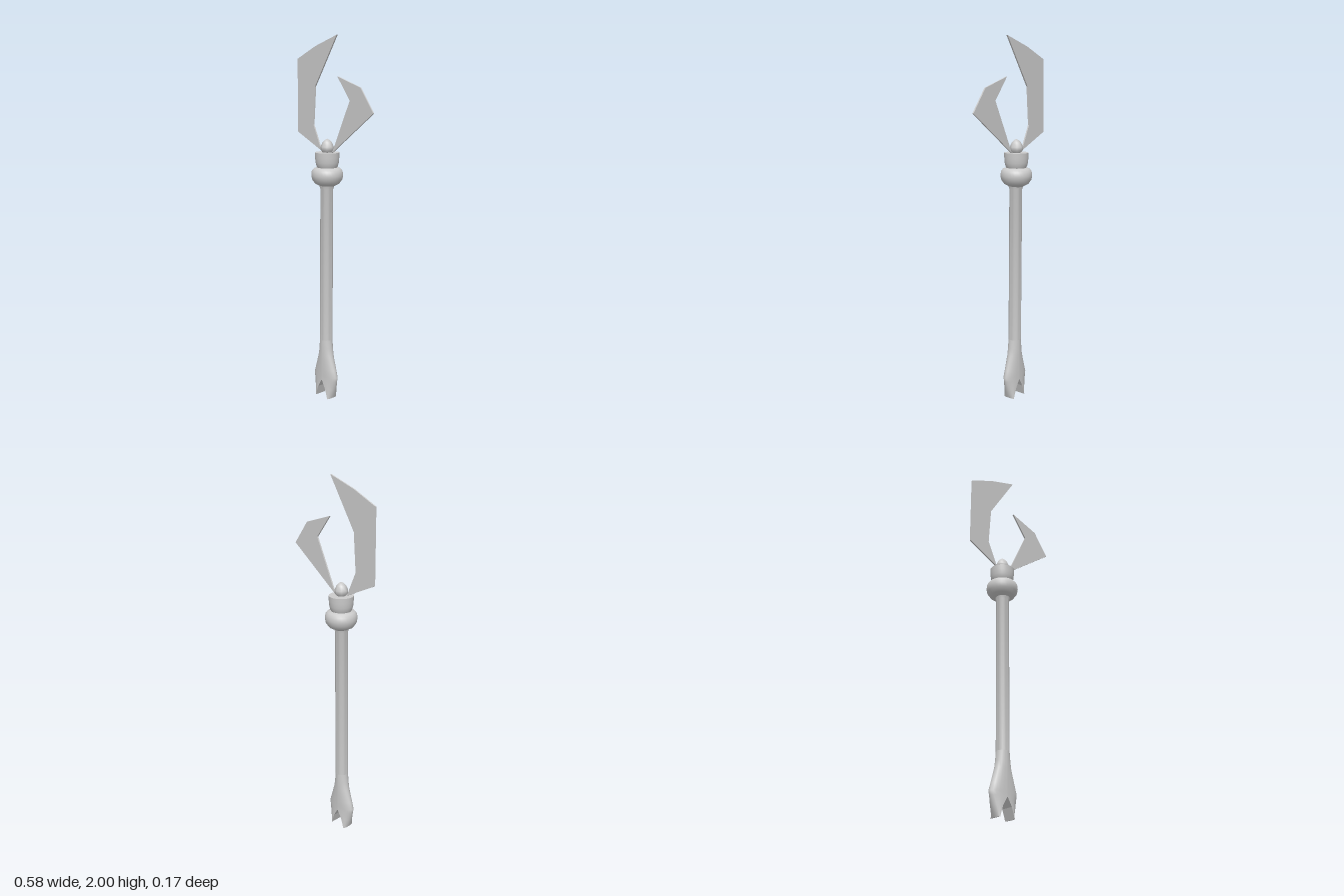
import * as THREE from 'three';
import { toCreasedNormals } from 'three/addons/utils/BufferGeometryUtils.js';

const AXIS_X = -0.057;
const material = new THREE.MeshStandardMaterial({ color: 0xcccccc });
const openMaterial = new THREE.MeshStandardMaterial({ color: 0xcccccc, side: THREE.DoubleSide });

function add(parent, name, geometry, mat = material) {
  const mesh = new THREE.Mesh(geometry, mat);
  mesh.name = name;
  parent.add(mesh);
  return mesh;
}

function lathe(points, sides, crease = 0.7) {
  const profile = points.map(([r, y]) => new THREE.Vector2(r, y));
  return toCreasedNormals(new THREE.LatheGeometry(profile, sides), crease);
}

function blade(points) {
  const shape = new THREE.Shape(points.map(([x, y]) => new THREE.Vector2(x, y)));
  return new THREE.ExtrudeGeometry(shape, { depth: 0.008, bevelEnabled: false }).translate(0, 0, -0.006);
}

// Skin over rows of points, each row running across the surface
function skin(rows) {
  const n = rows[0].length, index = [];
  for (let i = 0; i < rows.length - 1; i++) {
    for (let j = 0; j < n - 1; j++) {
      const a = i * n + j, b = a + n;
      index.push(a, b, a + 1, a + 1, b, b + 1);
    }
  }
  const geometry = new THREE.BufferGeometry();
  geometry.setAttribute('position', new THREE.Float32BufferAttribute(rows.flat(2), 3));
  geometry.setIndex(index);
  geometry.computeVertexNormals();
  return geometry;
}

export function createModel() {
  const model = new THREE.Group();
  model.name = 'staff';

  // Shaft and foot, leaning very slightly towards the front at the bottom
  const pole = new THREE.Group();
  pole.name = 'pole';
  pole.position.set(AXIS_X, 1.25, 0.001);
  pole.rotation.x = -0.007;
  model.add(pole);
  add(pole, 'shaft', lathe([[0.035, 0.34], [0.035, 1.19], [0.045, 1.22]], 24).translate(0, -1.25, 0));

  // Forked foot: [height, inner edge, outer edge] of one prong
  const sections = [
    [0.003, 0.047, 0.053], [0.06, 0.028, 0.073], [0.108, 0, 0.084], [0.13, 0, 0.088],
    [0.17, 0, 0.075], [0.25, 0, 0.048], [0.29, 0, 0.041], [0.34, 0, 0.035],
  ];
  const depth = 0.035, steps = 12;
  const outerRows = sections.map(([y, inner, outer]) => Array.from({ length: steps + 1 }, (_, j) => {
    const t = Math.PI * (0.5 - j / steps);
    return [inner + (outer - inner) * Math.cos(t), y, depth * Math.sin(t)];
  }));
  const innerRows = sections.slice(0, 3).map(([y, inner]) => [[inner, y, -depth], [inner, y, depth]]);
  const tip = outerRows[0];
  const tipRows = [tip.map(([, y, z]) => [sections[0][1], y, z]), tip];
  for (const [side, angle] of [['left', 0], ['right', Math.PI]]) {
    const prong = new THREE.Group();
    prong.name = side + 'Prong';
    prong.position.y = -1.25;
    prong.rotation.y = angle;
    pole.add(prong);
    add(prong, 'prongOuter', skin(outerRows), openMaterial);
    add(prong, 'prongInner', toCreasedNormals(skin(innerRows), 0.1), openMaterial);
    add(prong, 'prongTip', skin(tipRows), openMaterial);
  }

  // Head: bulging ring, collar and finial
  const head = new THREE.Group();
  head.name = 'head';
  head.position.set(AXIS_X, 0, -0.002);
  model.add(head);
  add(head, 'ring', lathe([
    [0.03, 1.2], [0.042, 1.208], [0.066, 1.22], [0.082, 1.243], [0.086, 1.265],
    [0.083, 1.288], [0.072, 1.302], [0.05, 1.308],
  ], 32));
  add(head, 'collar', lathe([
    [0.05, 1.3], [0.058, 1.315], [0.063, 1.335], [0.065, 1.36], [0.066, 1.388], [0, 1.388],
  ], 32));
  add(head, 'finial', lathe([
    [0.022, 1.385], [0.036, 1.402], [0.036, 1.418], [0.025, 1.442], [0.012, 1.455], [0, 1.461],
  ], 8, 1));

  // Thin claw blades
  add(model, 'largeBlade', blade([
    [0.02, 2], [-0.145, 1.945], [-0.288, 1.88], [-0.29, 1.485],
    [-0.1, 1.395], [-0.162, 1.53], [-0.147, 1.735],
  ]));
  add(model, 'smallBlade', blade([
    [0.025, 1.79], [0.118, 1.668], [-0.015, 1.388], [0.287, 1.61], [0.195, 1.735],
  ]));

  return model;
}
